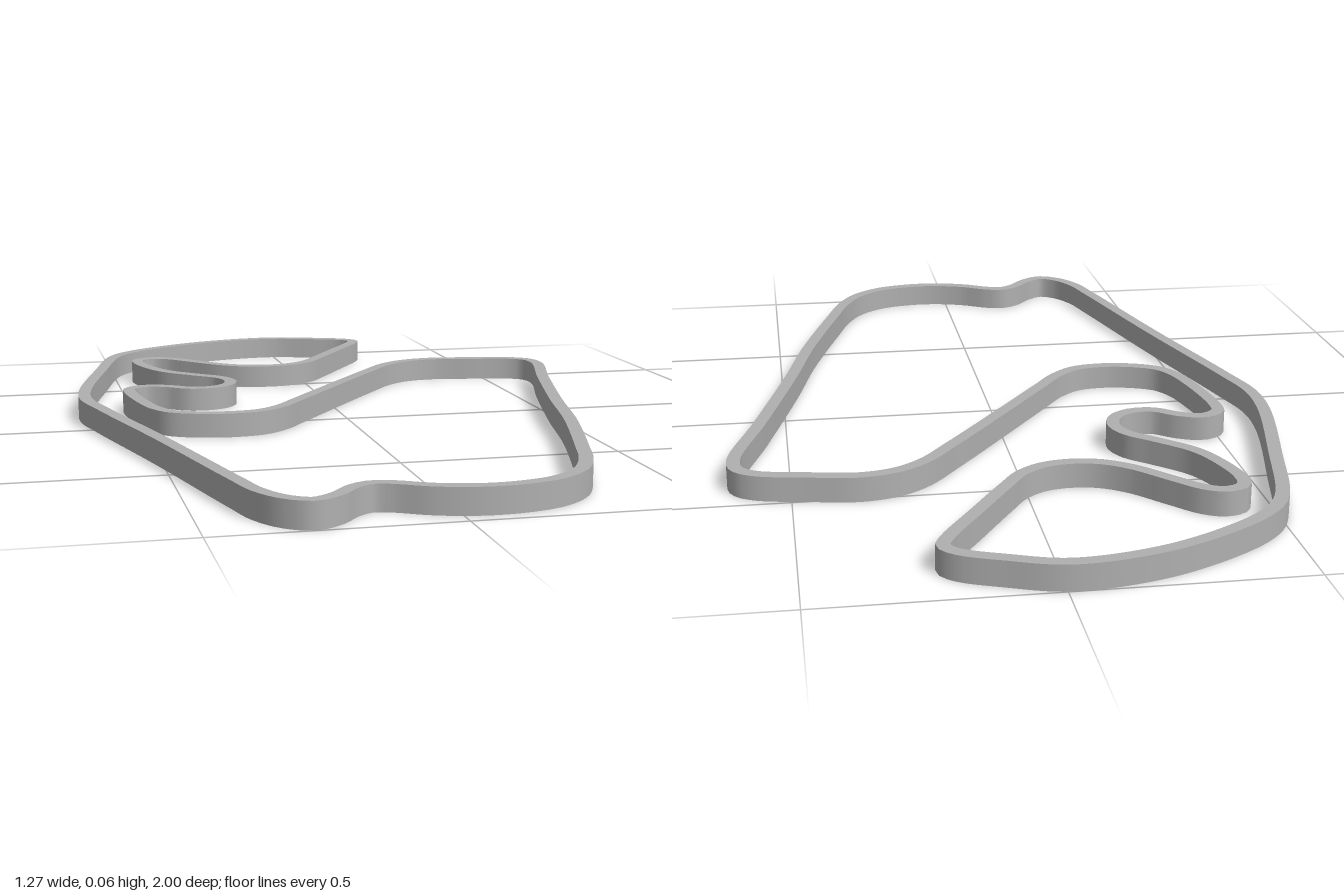
import * as THREE from 'three';

const WIDTH = 0.03;
const HEIGHT = 0.056;
const SAMPLES = 480;

// Centre line of the circuit as x, z pairs, clockwise seen from above
const LINE = [
  -0.01, -0.985, 0.11, -0.95, 0.2, -0.91, 0.222, -0.88, 0.21, -0.845, 0.135, -0.725,
  0.055, -0.6, 0.013, -0.54, -0.04, -0.503, -0.103, -0.492, -0.165, -0.503, -0.225, -0.54,
  -0.3, -0.62, -0.352, -0.673, -0.394, -0.69, -0.435, -0.672, -0.442, -0.624, -0.415, -0.52,
  -0.384, -0.46, -0.315, -0.39, -0.262, -0.34, -0.243, -0.288, -0.257, -0.233, -0.3, -0.2,
  -0.357, -0.2, -0.41, -0.238, -0.463, -0.254, -0.504, -0.228, -0.51, -0.18, -0.49, -0.026,
  -0.468, 0.055, -0.437, 0.1, -0.362, 0.133, -0.3, 0.14, -0.235, 0.128, -0.18, 0.085,
  -0.12, 0.004, 0.135, -0.345, 0.214, -0.444, 0.278, -0.487, 0.357, -0.503, 0.463, -0.487,
  0.574, -0.463, 0.612, -0.434, 0.621, -0.38, 0.56, -0.153, 0.48, 0.16, 0.426, 0.397,
  0.347, 0.672, 0.31, 0.788, 0.267, 0.868, 0.198, 0.926, 0.108, 0.952, 0.03, 0.952,
  -0.05, 0.93, -0.12, 0.892, -0.16, 0.883, -0.2, 0.905, -0.246, 0.958, -0.294, 0.985,
  -0.341, 0.958, -0.38, 0.894, -0.405, 0.8, -0.5, 0.397, -0.595, 0.025, -0.622, -0.1,
  -0.617, -0.222, -0.553, -0.52, -0.5, -0.73, -0.463, -0.794, -0.384, -0.862, -0.198, -0.955,
];

// Sweeps a rectangle along the closed line; sharp edges, smooth along the run
function sweepTrack(curve) {
  const h = WIDTH / 2;
  const corners = [[h, 0], [h, HEIGHT], [-h, HEIGHT], [-h, 0]];
  const faceNormals = [[1, 0], [0, 1], [-1, 0], [0, -1]];
  const positions = [], normals = [], index = [];
  const frames = [];
  for (let i = 0; i <= SAMPLES; i++) {
    const u = (i % SAMPLES) / SAMPLES;
    const t = curve.getTangentAt(u);
    frames.push({ p: curve.getPointAt(u), out: new THREE.Vector3(t.z, 0, -t.x).normalize() });
  }
  for (let f = 0; f < 4; f++) {
    const base = positions.length / 3;
    const [no, ny] = faceNormals[f];
    for (const { p, out } of frames) {
      for (const [o, y] of [corners[f], corners[(f + 1) % 4]]) {
        positions.push(p.x + out.x * o, y, p.z + out.z * o);
        normals.push(out.x * no, ny, out.z * no);
      }
    }
    for (let i = 0; i < SAMPLES; i++) {
      const a = base + i * 2;
      index.push(a, a + 1, a + 2, a + 1, a + 3, a + 2);
    }
  }
  const geometry = new THREE.BufferGeometry();
  geometry.setAttribute('position', new THREE.Float32BufferAttribute(positions, 3));
  geometry.setAttribute('normal', new THREE.Float32BufferAttribute(normals, 3));
  geometry.setIndex(index);
  return geometry;
}

export function createModel() {
  const group = new THREE.Group();
  group.name = 'raceCircuit';

  const grey = new THREE.MeshStandardMaterial({ color: 0xb0b0b0 });
  grey.name = 'grey';

  const points = [];
  for (let i = 0; i < LINE.length; i += 2) points.push(new THREE.Vector3(LINE[i], 0, LINE[i + 1]));
  const curve = new THREE.CatmullRomCurve3(points, true, 'centripetal');
  curve.arcLengthDivisions = 2000;

  // Closed track band
  const track = new THREE.Mesh(sweepTrack(curve), grey);
  track.name = 'track';
  group.add(track);
  return group;
}
